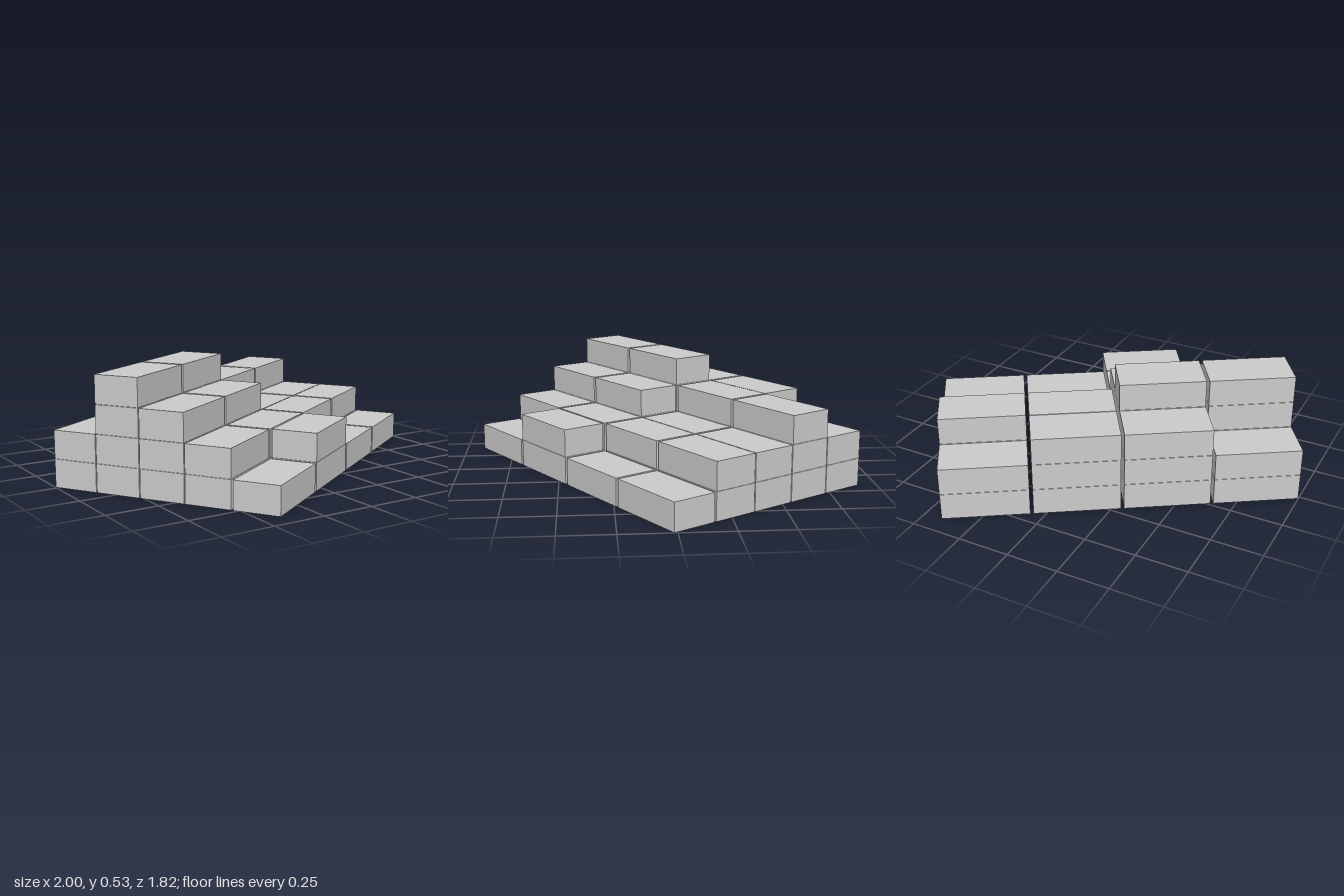
import * as THREE from 'three';

// Number of stacked blocks per cell: rows run back to front, columns from -x to +x
const HEIGHTS = [
  [2, 3, 3, 2],
  [4, 4, 3, 3],
  [3, 3, 2, 2],
  [2, 2, 2, 2],
  [1, 2, 1, 1],
];
const BLOCK = { w: 0.406, h: 0.132, d: 0.215 };
const PITCH = { x: 0.4207, y: 0.1335, z: 0.2195 };
const FRONT_GAP = 0.005; // the front row stands slightly apart
const SIZE = { x: 3 * PITCH.x + BLOCK.w, z: 4 * PITCH.z + FRONT_GAP + BLOCK.d };

export function createModel() {
  const model = new THREE.Group();
  model.name = 'blockPile';

  const material = new THREE.MeshStandardMaterial({ color: 0xcccccc, flatShading: true });
  const geometry = new THREE.BoxGeometry(BLOCK.w, BLOCK.h, BLOCK.d);

  // The whole pile is turned on the ground
  const pile = new THREE.Group();
  pile.name = 'turnedPile';
  pile.rotation.y = 0.568;
  model.add(pile);

  HEIGHTS.forEach((row, r) => row.forEach((count, c) => {
    // One stack of blocks
    const stack = new THREE.Group();
    stack.name = `stackRow${r + 1}Column${c + 1}`;
    stack.position.set(
      -SIZE.x / 2 + BLOCK.w / 2 + c * PITCH.x,
      0,
      -SIZE.z / 2 + BLOCK.d / 2 + r * PITCH.z + (r === 4 ? FRONT_GAP : 0),
    );
    for (let level = 0; level < count; level++) {
      const block = new THREE.Mesh(geometry, material);
      block.name = `block${level + 1}`;
      block.position.y = BLOCK.h / 2 + level * PITCH.y;
      stack.add(block);
    }
    pile.add(stack);
  }));

  return model;
}
